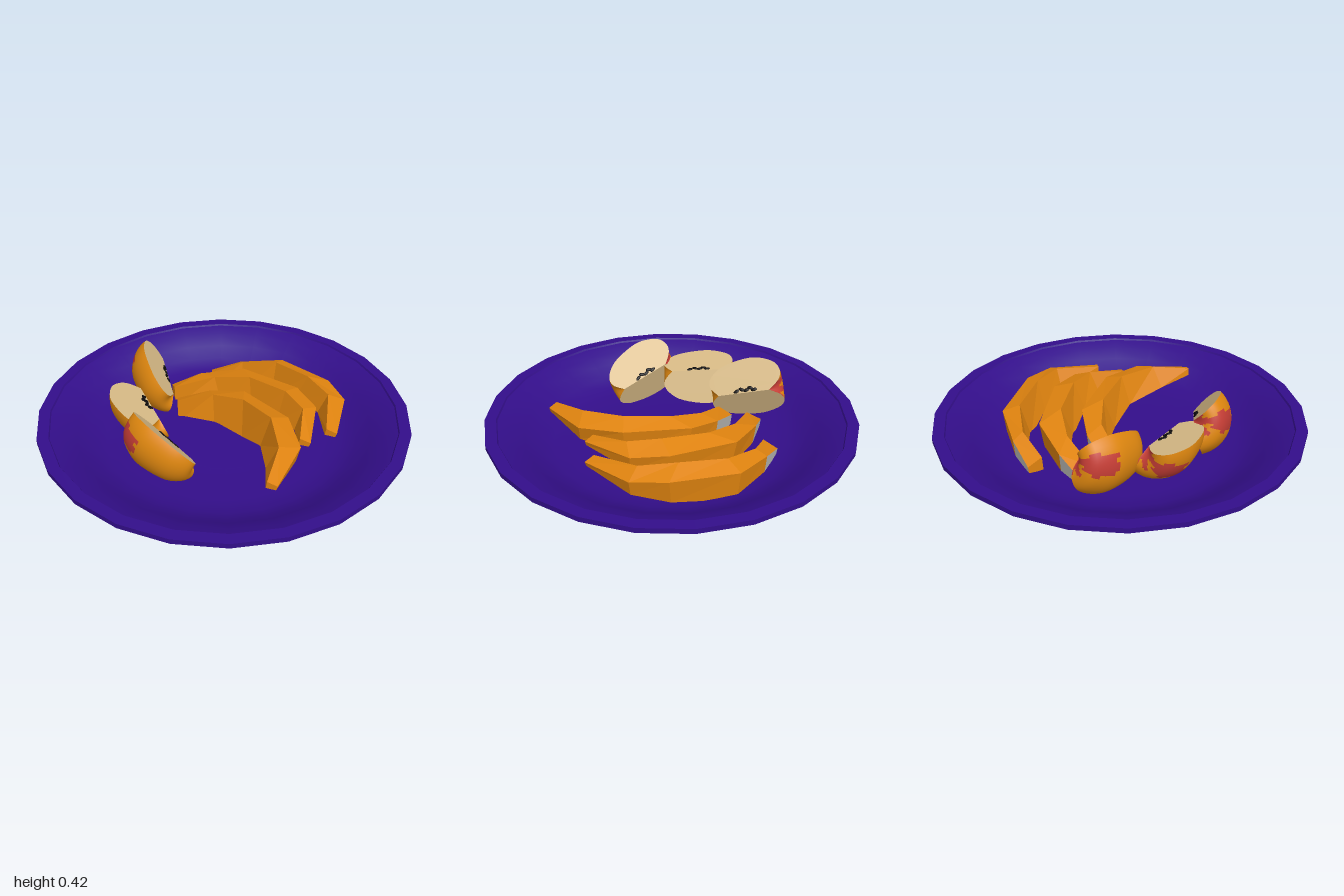
import * as THREE from 'three';

const V = (x, y, z) => new THREE.Vector3(x, y, z);
const mat = (name, color, side = THREE.FrontSide, flatShading = false) => {
  const m = new THREE.MeshStandardMaterial({ color, side, flatShading });
  m.name = name;
  return m;
};

export function createModel() {
  const purple = mat('plate purple', 0x330e8a);
  const orange = mat('melon orange', 0xdf830f, THREE.DoubleSide, true);
  const grey = mat('rind grey', 0xb8b8b4, THREE.DoubleSide, true);
  const skin = mat('apple skin', 0xdc850f, THREE.DoubleSide);
  const blush = mat('apple blush', 0xc23c34, THREE.DoubleSide);
  const flesh = mat('apple flesh', 0xd6b985, THREE.DoubleSide);
  const black = mat('seed black', 0x0a0808);

  const model = new THREE.Group();
  model.name = 'fruitPlate';
  const add = (parent, name, geometry, material) => {
    const mesh = new THREE.Mesh(geometry, material);
    mesh.name = name;
    parent.add(mesh);
    return mesh;
  };

  // Plate: separate turned bands keep the edges between them sharp
  const plate = new THREE.Group();
  plate.name = 'plate';
  model.add(plate);
  const bands = {
    plateUnderside: [[0, 0.03], [0.27, 0.03], [0.275, 0.035], [0.56, 0.035]],
    footInside: [[0.56, 0.035], [0.575, 0]],
    footBase: [[0.575, 0], [0.6, 0]],
    footOutside: [[0.6, 0], [0.6, 0.03]],
    bowlOutside: [[0.6, 0.03], [0.66, 0.045], [0.73, 0.08], [0.8, 0.128], [0.87, 0.172], [0.93, 0.198], [1, 0.208]],
    rimEdge: [[1, 0.208], [1, 0.235]],
    rimTop: [[1, 0.235], [0.94, 0.235]],
    rimStep: [[0.94, 0.235], [0.935, 0.225]],
    bowlInside: [[0.935, 0.225], [0.87, 0.2], [0.8, 0.158], [0.73, 0.11], [0.65, 0.076], [0.55, 0.062], [0.3, 0.06], [0, 0.06]],
  };
  for (const [name, pts] of Object.entries(bands)) {
    add(plate, name, new THREE.LatheGeometry(pts.map(([r, y]) => new THREE.Vector2(r, y)), 24), purple);
  }

  // Melon slices: four-cornered sections lofted between an inner and an outer curve
  const melonSlice = (name, inner, outer, lift) => {
    const top = [0.16, 0.22, 0.262, 0.287, 0.278, 0.24];
    const bottom = [0.02, 0.02, 0.06, 0.12, 0.16, 0.2];
    const rings = inner.map(([ix, iz], i) => {
      const [ox, oz] = outer[i];
      const at = (t, y) => V(ix + (ox - ix) * t, y, iz + (oz - iz) * t);
      const yt = top[i] - lift, yb = Math.max(0.015, bottom[i] - lift);
      const drop = i === 5 ? 0.015 : 0.035;
      return [at(0, yb), at(i === 0 || i === 5 ? 0.1 : 0.35, yt), at(1, yt - drop), at(0.88, yb)];
    });
    const flesh = [], rind = [];
    const quad = (list, a, b, c, d) => [a, b, c, a, c, d].forEach(p => list.push(p.x, p.y, p.z));
    for (let i = 0; i < 5; i++) {
      for (let k = 0; k < 4; k++) {
        const n = (k + 1) % 4;
        // underside and the low end of the outer wall are rind
        const list = k === 3 || (k === 2 && i === 0) ? rind : flesh;
        quad(list, rings[i][k], rings[i + 1][k], rings[i + 1][n], rings[i][n]);
      }
    }
    quad(flesh, ...rings[0]);
    quad(flesh, ...[...rings[5]].reverse());
    const group = new THREE.Group();
    group.name = name;
    model.add(group);
    for (const [part, list, m] of [['melonFlesh', flesh, orange], ['melonRind', rind, grey]]) {
      const g = new THREE.BufferGeometry();
      g.setAttribute('position', new THREE.Float32BufferAttribute(list, 3));
      g.computeVertexNormals();
      add(group, part, g, m);
    }
  };
  melonSlice('innerMelonSlice',
    [[-0.26, -0.17], [-0.05, -0.1], [0.1, 0.03], [0.19, 0.19], [0.2, 0.42], [0.185, 0.61]],
    [[-0.26, -0.26], [-0.07, -0.245], [0.12, -0.17], [0.34, 0.12], [0.38, 0.36], [0.24, 0.63]], 0);
  melonSlice('middleMelonSlice',
    [[-0.28, -0.33], [0, -0.3], [0.17, -0.2], [0.3, -0.05], [0.38, 0.09], [0.38, 0.27]],
    [[-0.3, -0.42], [-0.13, -0.445], [0.13, -0.425], [0.42, -0.18], [0.505, 0], [0.44, 0.29]], 0.012);
  melonSlice('outerMelonSlice',
    [[-0.06, -0.5], [0.13, -0.49], [0.3, -0.4], [0.42, -0.25], [0.53, -0.08], [0.53, 0.18]],
    [[-0.06, -0.59], [0.12, -0.585], [0.37, -0.53], [0.61, -0.26], [0.675, -0.08], [0.59, 0.205]], 0.02);

  // Apple wedges: part-turned skin closed by two flat cut faces
  const outline = new THREE.SplineCurve(
    [[0, -0.15], [0.055, -0.195], [0.11, -0.185], [0.165, -0.115], [0.193, 0], [0.193, 0.09],
      [0.155, 0.18], [0.1, 0.21], [0.05, 0.195], [0, 0.14]].map(([r, h]) => new THREE.Vector2(r, h))
  ).getPoints(36).map(p => new THREE.Vector2(Math.max(0, p.x), p.y));
  const sector = THREE.MathUtils.degToRad(120);

  const appleWedge = (name, centre, axis, cut) => {
    const group = new THREE.Group();
    group.name = name;
    model.add(group);
    const y = axis.normalize();
    const x = y.clone().cross(cut).normalize();
    const z = x.clone().cross(y);
    group.quaternion.setFromRotationMatrix(new THREE.Matrix4().makeBasis(x, y, z));
    group.position.copy(centre);

    // Skin, with blush around the stem end and in one side patch
    const segs = 18, rows = outline.length - 1;
    const g = new THREE.LatheGeometry(outline, segs, -sector, sector);
    g.clearGroups();
    for (let i = 0; i < segs; i++) {
      for (let j = 0; j < rows; j++) {
        const stem = j > rows * 0.82 + 2 * Math.sin(i * 0.9);
        const patch = Math.hypot((i - 11) / 3, (j - rows * 0.66) / 5) < 1 + 0.2 * Math.sin(i * 2 + j);
        g.addGroup((i * rows + j) * 6, 6, stem || patch ? 1 : 0);
      }
    }
    add(group, 'appleSkin', g, [skin, blush]);

    // Cut faces
    const face = new THREE.ShapeGeometry(new THREE.Shape(outline));
    [['upperCutFace', 0], ['lowerCutFace', -sector]].forEach(([part, phi]) => {
      add(group, part, face, flesh).rotation.y = phi - Math.PI / 2;
    });

    // Seeds along the core
    [[0.012, -0.045, 0.4], [0.02, -0.015, -0.5], [0.014, 0.012, 0.3], [0.024, 0.035, -0.3], [0.012, 0.055, 0.2]]
      .forEach(([r, h, tilt]) => {
        const seed = add(group, 'seed', new THREE.SphereGeometry(0.011, 10, 6), black);
        seed.scale.set(0.45, 1.6, 0.9);
        seed.position.set(0.001, h, r);
        seed.rotation.x = tilt;
      });
  };
  appleWedge('backAppleWedge', V(-0.315, 0.25, -0.31), V(-0.1, 0.1, -0.4), V(-0.6, 0.8, 0));
  appleWedge('middleAppleWedge', V(-0.4, 0.285, 0.01), V(-0.16, 0.02, -0.37), V(-0.9, 0.18, 0.4));
  appleWedge('frontAppleWedge', V(-0.28, 0.245, 0.29), V(-0.25, 0.12, -0.2), V(-0.4, 0.7, 0.45));

  return model;
}
